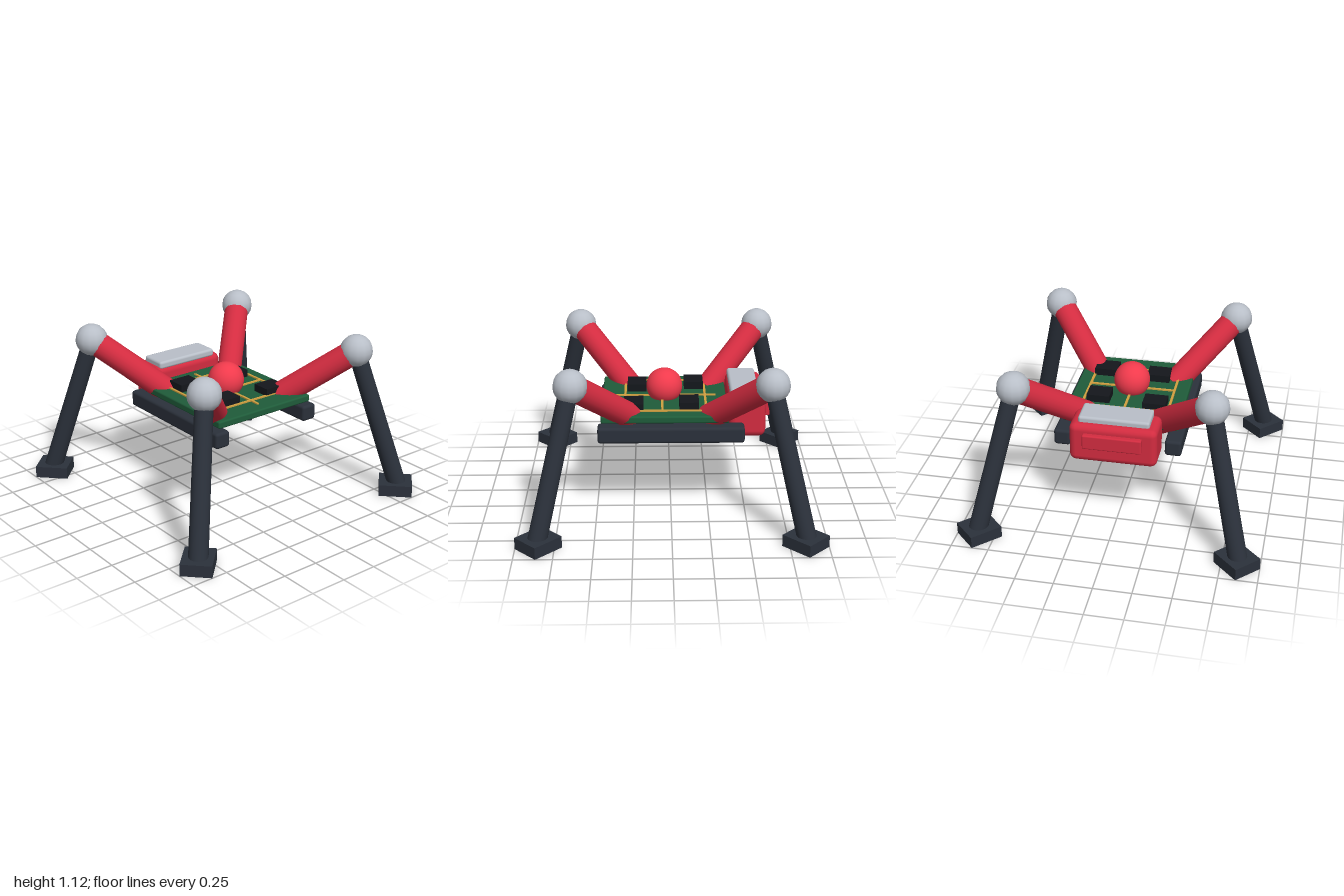
import * as THREE from 'three';
import { RoundedBoxGeometry } from 'three/addons/geometries/RoundedBoxGeometry.js';

const mat = (color) => new THREE.MeshStandardMaterial({ color });
const RED = mat(0xd32c40), BRIGHT_RED = mat(0xf03a4c), DARK = mat(0x2b313b), BLACK = mat(0x14171c);
const GREEN = mat(0x1f5c3a), GOLD = mat(0xd0a040), SILVER = mat(0xb9bfc8);

function add(parent, name, geometry, material, x = 0, y = 0, z = 0) {
  const mesh = new THREE.Mesh(geometry, material);
  mesh.name = name;
  mesh.position.set(x, y, z);
  parent.add(mesh);
  return mesh;
}

// Cylinder running from point a to point b
function strut(parent, name, a, b, ra, rb, material, sides) {
  const dir = b.clone().sub(a);
  const mesh = add(parent, name, new THREE.CylinderGeometry(rb, ra, dir.length(), sides), material);
  mesh.position.copy(a).add(b).multiplyScalar(0.5);
  mesh.quaternion.setFromUnitVectors(new THREE.Vector3(0, 1, 0), dir.normalize());
  return mesh;
}

// One jointed leg pointing towards the corner (sx, sz)
function createLeg(sx, sz) {
  const leg = new THREE.Group();
  const at = (d, y) => new THREE.Vector3(sx * d, y, sz * d);
  const hip = at(0.25, 0.65), knee = at(0.632, 1.015), ankle = at(0.856, 0.06);
  strut(leg, 'upperLeg', hip, knee, 0.085, 0.085, RED, 20);
  strut(leg, 'lowerLeg', knee, ankle, 0.058, 0.063, DARK, 18);
  add(leg, 'knee', new THREE.SphereGeometry(0.11, 14, 10), SILVER, ...knee.toArray());
  const foot = add(leg, 'foot', new THREE.BoxGeometry(0.2, 0.08, 0.223), DARK, sx * 0.851, 0.04, sz * 0.851);
  foot.rotation.y = Math.atan2(sx, sz);
  return leg;
}

export function createModel() {
  const model = new THREE.Group();
  model.name = 'quadrupedRobot';

  // Circuit board with its traces
  const board = new THREE.Group();
  board.name = 'circuitBoard';
  model.add(board);
  add(board, 'boardPlate', new RoundedBoxGeometry(0.77, 0.05, 0.84, 2, 0.012), GREEN, 0, 0.682, 0.04);
  for (const [x, length] of [[-0.29, 0.555], [0, 0.69], [0.29, 0.555]]) {
    add(board, 'lengthTrace', new THREE.BoxGeometry(0.016, 0.012, length), GOLD, x, 0.71, 0.036);
  }
  for (const z of [-0.235, 0.055, 0.305]) {
    add(board, 'crossTrace', new THREE.BoxGeometry(0.58, 0.012, 0.016), GOLD, 0, 0.71, z);
  }

  // Chips on the board
  for (const [x, z] of [[-0.195, -0.162], [0.19, -0.122], [-0.157, 0.226], [0.212, 0.246]]) {
    add(board, 'chip', new THREE.BoxGeometry(0.155, 0.055, 0.13), BLACK, x, 0.73, z);
  }

  // Dome in the middle of the board
  add(model, 'sensorBall', new THREE.SphereGeometry(0.122, 28, 20), BRIGHT_RED, 0, 0.78, 0.04);

  // Side rails below the board
  for (const s of [-1, 1]) {
    add(model, s > 0 ? 'leftRail' : 'rightRail',
      new RoundedBoxGeometry(0.11, 0.11, 0.964, 2, 0.02), DARK, s * 0.368, 0.585, 0);
  }

  // Battery pack at the back
  const pack = new THREE.Group();
  pack.name = 'batteryPack';
  model.add(pack);
  add(pack, 'packBody', new RoundedBoxGeometry(0.574, 0.272, 0.245, 2, 0.045), RED, 0, 0.65, -0.508);
  add(pack, 'packLid', new RoundedBoxGeometry(0.465, 0.055, 0.19, 2, 0.018), SILVER, 0, 0.797, -0.49);
  add(pack, 'packBackPlate', new RoundedBoxGeometry(0.385, 0.1, 0.05, 2, 0.01), RED, 0, 0.682, -0.637);

  // Legs at the four corners
  for (const sx of [-1, 1]) {
    for (const sz of [-1, 1]) {
      const leg = createLeg(sx, sz);
      leg.name = `${sz > 0 ? 'front' : 'back'}${sx > 0 ? 'Left' : 'Right'}Leg`;
      model.add(leg);
    }
  }
  return model;
}
